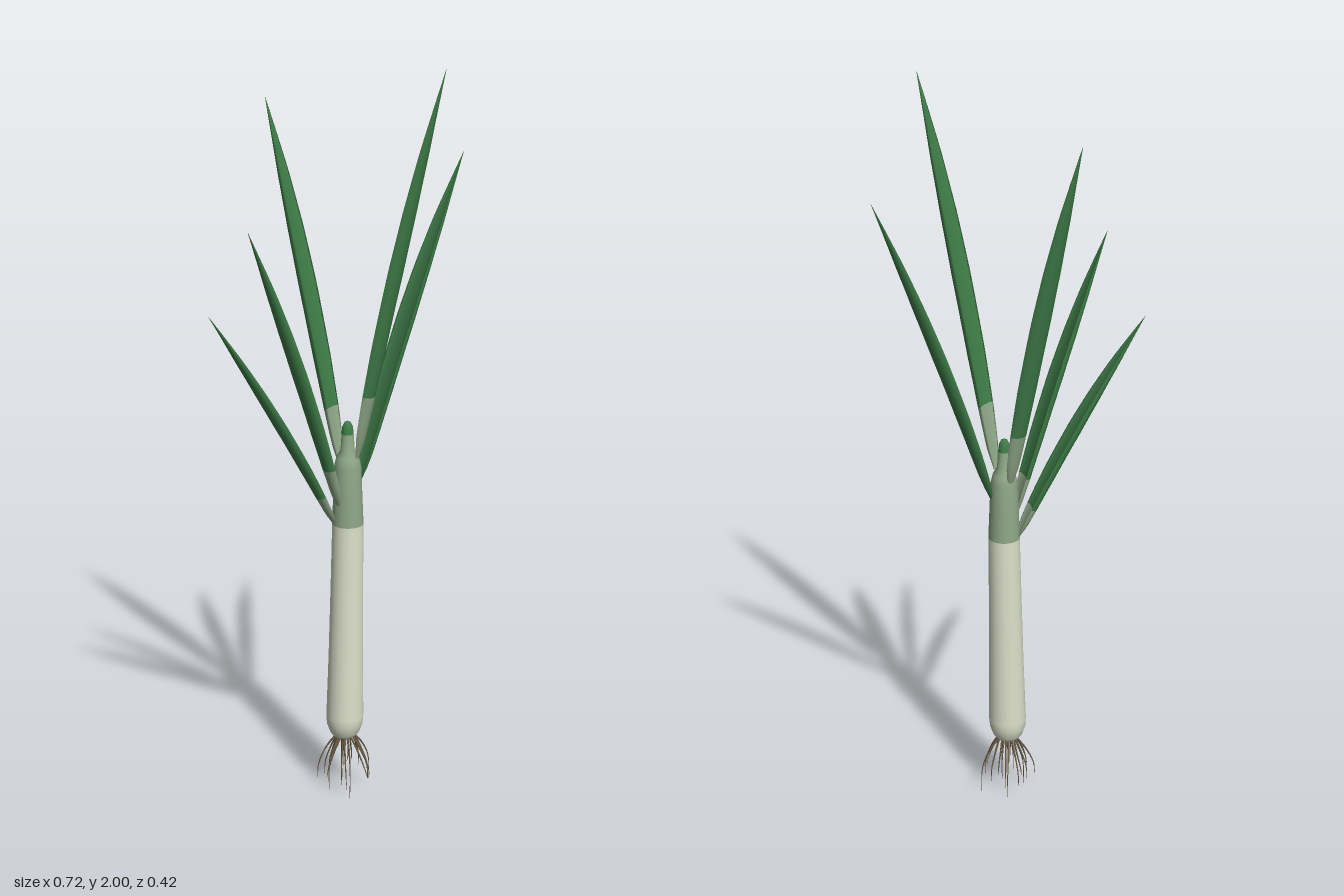
import * as THREE from 'three';

const V = (x, y, z) => new THREE.Vector3(x, y, z);
const mat = (name, color, side = THREE.FrontSide) => {
  const m = new THREE.MeshStandardMaterial({ color, side });
  m.name = name;
  return m;
};

// Linear lookup in a list of [t, value] pairs
function lookup(pairs, t) {
  for (let i = 1; i < pairs.length; i++) {
    const [a, va] = pairs[i - 1], [b, vb] = pairs[i];
    if (t <= b) return va + (vb - va) * (t - a) / (b - a);
  }
  return pairs[pairs.length - 1][1];
}

// Skins closed sections along a curve between t0 and t1; section(t, j) gives [sideways, inward]
function loft(curve, side, t0, t1, rings, count, section) {
  const pos = [], index = [];
  for (let i = 0; i <= rings; i++) {
    const t = t0 + (t1 - t0) * i / rings;
    const p = curve.getPoint(t), tangent = curve.getTangent(t);
    const s = side.clone().addScaledVector(tangent, -side.dot(tangent)).normalize();
    const n = tangent.clone().cross(s);
    for (let j = 0; j < count; j++) {
      const [u, v] = section(t, j);
      const q = p.clone().addScaledVector(s, u).addScaledVector(n, v);
      pos.push(q.x, q.y, q.z);
    }
  }
  for (let i = 0; i < rings; i++) {
    for (let j = 0; j < count; j++) {
      const a = i * count + j, b = i * count + (j + 1) % count;
      index.push(a, b, b + count, a, b + count, a + count);
    }
  }
  const g = new THREE.BufferGeometry();
  g.setAttribute('position', new THREE.Float32BufferAttribute(pos, 3));
  g.setIndex(index);
  g.computeVertexNormals();
  return g;
}

// Half width of a leaf from base to tip
const LEAF_WIDTH = [[0, 0.008], [0.06, 0.022], [0.15, 0.028], [0.3, 0.033], [0.5, 0.034],
  [0.65, 0.03], [0.8, 0.021], [0.92, 0.009], [1, 0.0006]];

// Crescent section: rounded outside, shallow channel inside
function leafSection(t, j) {
  const w = lookup(LEAF_WIDTH, t), a = (j / 16) * Math.PI * 2;
  const depth = Math.sin(a) < 0 ? 0.75 : -0.25;
  return [w * Math.cos(a), w * (depth * Math.sin(a) + 0.25)];
}

export function createModel() {
  const group = new THREE.Group();
  const white = mat('stemWhite', 0xdce1ca);
  const pale = mat('paleGreen', 0x8fa888, THREE.DoubleSide);
  const green = mat('leafGreen', 0x3f7d48, THREE.DoubleSide);
  const brown = mat('rootBrown', 0x6a5c46, THREE.DoubleSide);

  const add = (name, geometry, material, parent = group) => {
    const m = new THREE.Mesh(geometry, material);
    m.name = name;
    parent.add(m);
    return m;
  };

  // Stem pieces are turned profiles that lean a little with height
  const turned = (profile) => {
    const g = new THREE.LatheGeometry(profile.map(([r, y]) => new THREE.Vector2(r, y)), 20);
    const p = g.attributes.position;
    for (let i = 0; i < p.count; i++) {
      const k = (p.getY(i) - 0.2) / 0.58;
      p.setX(i, p.getX(i) - 0.004 + 0.011 * Math.min(k, 1));
      p.setZ(i, p.getZ(i) + 0.008 - 0.004 * k);
    }
    return g;
  };
  add('stem', turned([[0, 0.162], [0.03, 0.163], [0.04, 0.175], [0.049, 0.2], [0.051, 0.225],
    [0.047, 0.4], [0.044, 0.6], [0.042, 0.78]]), white);
  add('upperStem', turned([[0.042, 0.78], [0.039, 0.86], [0.036, 0.94], [0.03, 0.965],
    [0.019, 0.985], [0.016, 1.03]]), pale);
  add('innerShoot', turned([[0.016, 1.03], [0.014, 1.05], [0.008, 1.062], [0, 1.066]]), green);

  // Leaves: base, tip, share of the length that is pale
  const leaves = [
    [V(0.042, 0.9, 0.004), V(0.355, 1.74, -0.03), 0],
    [V(0.022, 0.97, 0.03), V(0.172, 2, 0.21), 0.17],
    [V(-0.002, 0.94, -0.022), V(-0.125, 1.89, -0.21), 0.16],
    [V(-0.022, 0.83, 0.014), V(-0.275, 1.6, 0.02), 0.15],
    [V(-0.026, 0.78, -0.006), V(-0.36, 1.38, -0.042), 0.14],
  ];
  leaves.forEach(([base, tip, split], i) => {
    const leaf = new THREE.Group();
    leaf.name = 'leaf' + (i + 1);
    group.add(leaf);
    const out = V(tip.x - base.x, 0, tip.z - base.z);
    // Rises steeply first, then leans outward
    const mid = base.clone().lerp(tip, 0.5).addScaledVector(out, -0.09);
    const curve = new THREE.QuadraticBezierCurve3(base, mid, tip);
    const side = V(0, 1, 0).cross(out).normalize();
    if (split) add('leafBase', loft(curve, side, 0, split, 6, 16, leafSection), pale, leaf);
    add('leafBlade', loft(curve, side, split, 1, 24, 16, leafSection), green, leaf);
  });

  // Roots: thin tapering strands that spread and hang
  let seed = 7;
  const rnd = () => (seed = (seed * 16807) % 2147483647) / 2147483647;
  const roots = new THREE.Group();
  roots.name = 'roots';
  group.add(roots);
  const COUNT = 20;
  for (let i = 0; i < COUNT; i++) {
    const a = (i + 0.6 * rnd()) / COUNT * Math.PI * 2;
    const reach = 0.045 + 0.035 * rnd(), low = i % 5 === 0 ? 0.002 : 0.015 + 0.05 * rnd();
    const at = (r, y, turn = 0) => V(r * Math.cos(a + turn) - 0.003, y, r * Math.sin(a + turn) + 0.009);
    const twist = (rnd() - 0.5) * 0.6;
    const curve = new THREE.CatmullRomCurve3([at(0.012 + 0.014 * rnd(), 0.17),
      at(reach * 0.65, 0.13, twist * 0.3), at(reach * 0.95, 0.08, twist * 0.7), at(reach, low, twist)]);
    const side = V(-Math.sin(a), 0, Math.cos(a));
    add('root', loft(curve, side, 0, 1, 12, 5, (t, j) => {
      const r = 0.0028 * (1 - t) + 0.0006, b = j / 5 * Math.PI * 2;
      return [r * Math.cos(b), r * Math.sin(b)];
    }), brown, roots);
  }
  return group;
}
